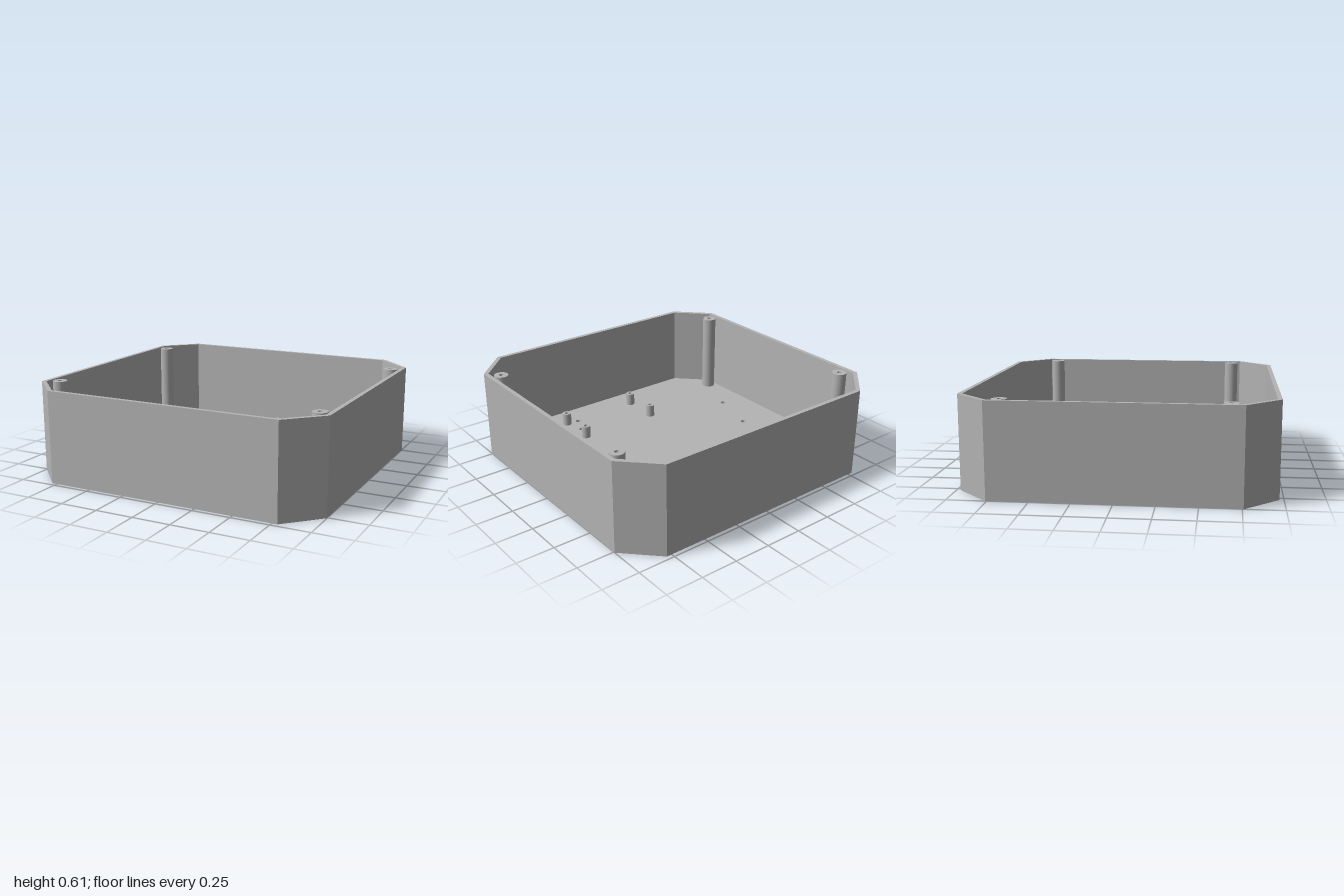
import * as THREE from 'three';

const HX = 1, HZ = 0.973, HEIGHT = 0.605, CHAMFER = 0.215;
const WALL = 0.028, FLOOR = 0.035;

// Chamfered rectangle outline, moved inward by t with an even wall thickness
function outline(Type, t) {
  const a = HX - t, b = HZ - t, c = CHAMFER - t * (2 - Math.SQRT2);
  return new Type([
    [a - c, -b], [a, c - b], [a, b - c], [a - c, b],
    [c - a, b], [-a, b - c], [-a, c - b], [c - a, -b],
  ].map(([x, y]) => new THREE.Vector2(x, y)));
}

// Extrude a plan shape upward from y0 to y1 (shape y is -z)
function extrudeUp(shape, y0, y1) {
  const g = new THREE.ExtrudeGeometry(shape, { depth: y1 - y0, bevelEnabled: false, curveSegments: 12 });
  return g.rotateX(-Math.PI / 2).translate(0, y0, 0);
}

export function createModel() {
  const model = new THREE.Group();
  model.name = 'enclosure';
  const grey = new THREE.MeshStandardMaterial({ color: 0xb4b4b4 });
  grey.name = 'grey plastic';

  const add = (name, geometry) => {
    const mesh = new THREE.Mesh(geometry, grey);
    mesh.name = name;
    model.add(mesh);
    return mesh;
  };

  // Floor plate with screw holes and cable slots
  const floor = outline(THREE.Shape, 0);
  const drill = (x, z) => floor.holes.push(new THREE.Path().absarc(x, -z, 0.018, 0, Math.PI * 2, true));
  for (const s of [-1, 1]) {
    for (const x of [0.335, 0.648]) for (const z of [0.632, 0.827]) drill(x, s * z);
    drill(0.283, s * 0.759);
    drill(-0.78, s * 0.34);
    const z = s * 0.495;
    floor.holes.push(new THREE.Path([
      [0.433, z - 0.032], [0.433, z + 0.032], [0.546, z + 0.032], [0.546, z - 0.032],
    ].map(([x, zz]) => new THREE.Vector2(x, -zz))));
  }
  drill(-0.683, 0);
  add('floor', extrudeUp(floor, 0, FLOOR));

  // Surrounding wall, open at the top
  const ring = outline(THREE.Shape, 0);
  ring.holes.push(outline(THREE.Path, WALL));
  add('wall', extrudeUp(ring, FLOOR, HEIGHT));

  // Hollow round posts standing on the floor
  const post = (name, x, z, radius, bore, top) => {
    const profile = [[bore, FLOOR], [radius, FLOOR], [radius, top], [bore, top], [bore, FLOOR]];
    // Each section gets its own points so that the rims stay sharp
    const group = new THREE.Group();
    group.name = name;
    group.position.set(x, 0, z);
    for (let i = 1; i < 4; i++) {
      const pts = [profile[i], profile[i + 1]].map(([r, y]) => new THREE.Vector2(r, y));
      const mesh = new THREE.Mesh(new THREE.LatheGeometry(pts, 32), grey);
      mesh.name = ['outside', 'rim', 'bore'][i - 1];
      group.add(mesh);
    }
    model.add(group);
  };

  for (const x of [-0.912, 0.912]) for (const z of [-0.68, 0.68]) {
    post('cornerPost', x, z, 0.048, 0.015, 0.602);
  }
  for (const x of [0.01, 0.372]) for (const z of [-0.77, -0.414]) {
    post('backStandoff', x, z, 0.035, 0.014, 0.112);
  }
  for (const x of [-0.2, 0.372]) for (const z of [0.512, 0.77]) {
    post('frontStandoff', x, z, 0.031, 0.014, 0.122);
  }

  return model;
}
